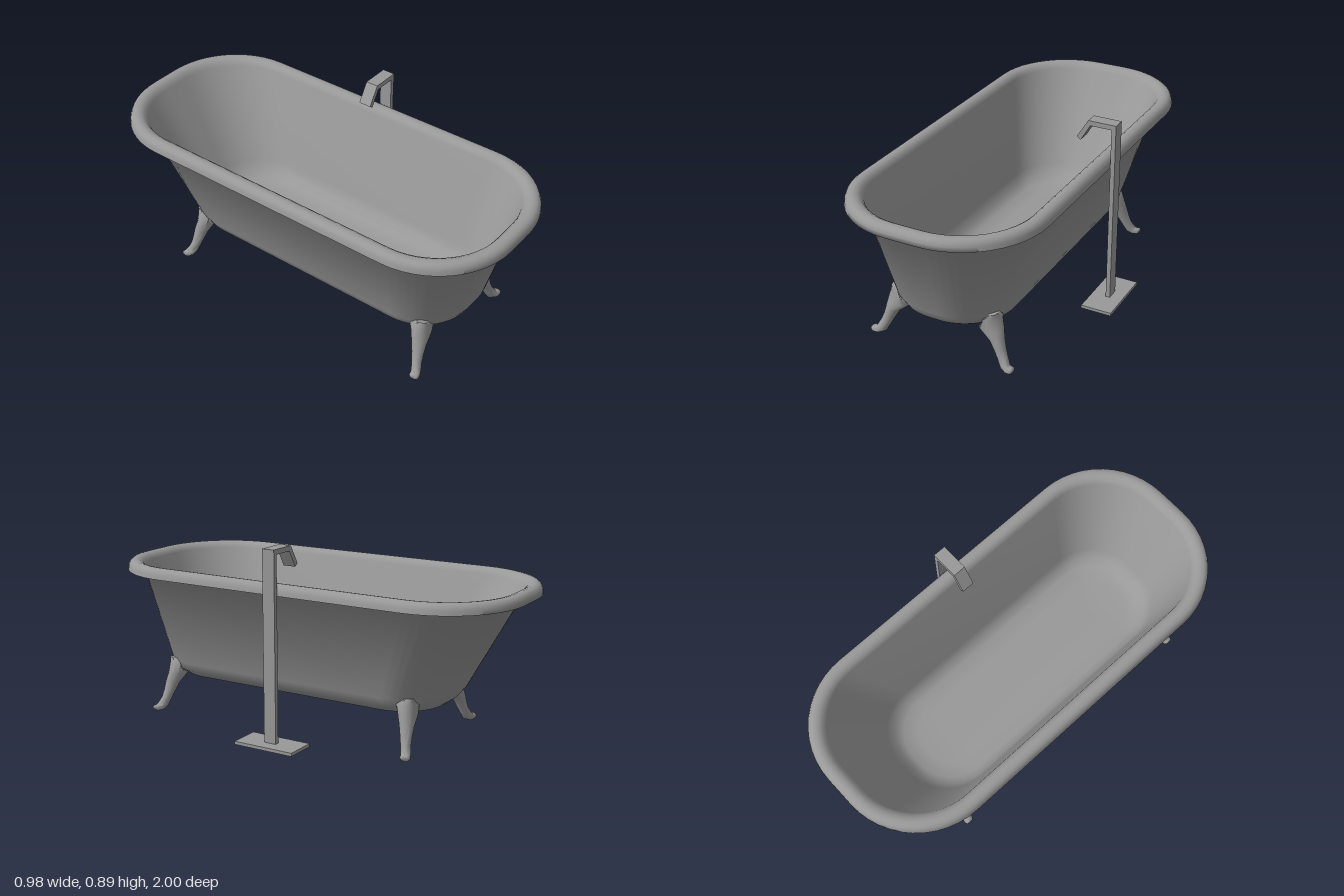
import * as THREE from 'three';
import { toCreasedNormals } from 'three/addons/utils/BufferGeometryUtils.js';

const material = new THREE.MeshStandardMaterial({ color: 0x999999, side: THREE.DoubleSide });
const TUB_X = -0.04;

// Skin a list of equal-length rings of [x, y, z] points, optionally closing both ends.
function loft(rings, caps, crease) {
  const n = rings[0].length;
  const index = [];
  const quad = (a, b, c, d) => index.push(a, b, c, a, c, d);
  for (let i = 0; i < rings.length - 1; i++) {
    for (let j = 0; j < n; j++) {
      const k = (j + 1) % n;
      quad(i * n + j, (i + 1) * n + j, (i + 1) * n + k, i * n + k);
    }
  }
  if (caps) {
    const last = (rings.length - 1) * n;
    for (let j = 1; j < n - 1; j++) {
      index.push(0, j, j + 1, last, last + j + 1, last + j);
    }
  }
  const geometry = new THREE.BufferGeometry();
  geometry.setAttribute('position', new THREE.Float32BufferAttribute(rings.flat(2), 3));
  geometry.setIndex(index);
  return toCreasedNormals(geometry, crease);
}

// Horizontal rounded rectangle: half width w, reaching from zBack to zFront.
function tubRing([y, w, zFront, zBack, r], steps = 12) {
  const corners = [[1, 1, 0], [-1, 1, 1], [-1, -1, 2], [1, -1, 3]];
  const ring = [];
  for (const [sx, sz, quarter] of corners) {
    for (let i = 0; i <= steps; i++) {
      const a = (quarter + i / steps) * Math.PI / 2;
      const cz = sz > 0 ? zFront - r : zBack + r;
      ring.push([sx * (w - r) + r * Math.cos(a), y, cz + r * Math.sin(a)]);
    }
  }
  return ring;
}

function add(parent, name, geometry) {
  const mesh = new THREE.Mesh(geometry, material);
  mesh.name = name;
  parent.add(mesh);
  return mesh;
}

function createTub() {
  // [y, half width, front z, back z, corner radius]: underside, wall, rolled rim, basin
  const profile = [
    [0.167, 0, 0.50, -0.40, 0],
    [0.167, 0.18, 0.71, -0.57, 0.165],
    [0.178, 0.225, 0.755, -0.62, 0.205],
    [0.205, 0.26, 0.79, -0.655, 0.235],
    [0.25, 0.282, 0.815, -0.69, 0.25],
    [0.682, 0.38, 0.924, -0.922, 0.315],
    [0.682, 0.452, 1.0, -1.0, 0.38],
    [0.703, 0.449, 0.999, -0.999, 0.38],
    [0.718, 0.442, 0.992, -0.992, 0.372],
    [0.727, 0.43, 0.98, -0.98, 0.36],
    [0.73, 0.414, 0.964, -0.964, 0.345],
    [0.727, 0.398, 0.948, -0.948, 0.33],
    [0.717, 0.384, 0.932, -0.932, 0.318],
    [0.70, 0.375, 0.92, -0.92, 0.31],
    [0.27, 0.27, 0.80, -0.68, 0.235],
    [0.225, 0.25, 0.775, -0.645, 0.22],
    [0.20, 0.215, 0.745, -0.61, 0.195],
    [0.19, 0.15, 0.68, -0.54, 0.135],
    [0.19, 0, 0.50, -0.40, 0],
  ];
  // the crease angle lets the wall, rim underside and rim shade as one smooth skin
  return loft(profile.map((row) => tubRing(row)), false, 1.7);
}

// One claw-like leg; sections are [x, y, z, half thickness, half breadth, tilt].
function createLeg(sx, sz) {
  const sections = [
    [0.242, 0.26, 0.70, 0.018, 0.03, 0],
    [0.222, 0.23, 0.69, 0.05, 0.046, 0],
    [0.227, 0.18, 0.698, 0.058, 0.04, 0.1],
    [0.259, 0.14, 0.708, 0.034, 0.033, 0.25],
    [0.276, 0.10, 0.715, 0.027, 0.027, 0.3],
    [0.292, 0.065, 0.722, 0.024, 0.023, 0.4],
    [0.307, 0.037, 0.731, 0.025, 0.023, 0.75],
    [0.325, 0.023, 0.739, 0.017, 0.024, 1.2],
    [0.345, 0.024, 0.743, 0.015, 0.022, 1.4],
    [0.353, 0.025, 0.744, 0.009, 0.015, 1.4],
  ];
  const sides = 16;
  const rings = sections.map(([x, y, z, a, b, tilt]) => {
    const ring = [];
    for (let j = 0; j < sides; j++) {
      // reversing the order on mirrored legs keeps the faces outward
      const t = sx * sz * j / sides * Math.PI * 2;
      const u = a * Math.cos(t);
      let px = x + u * Math.cos(tilt);
      let pz = z + b * Math.sin(t);
      // the top hugs the rounded tub corner instead of piercing the basin
      if (y > 0.2) {
        const dx = px - 0.033;
        const dz = pz - 0.57;
        const push = Math.max(1, 0.242 / Math.hypot(dx, dz));
        px = 0.033 + dx * push;
        pz = 0.57 + dz * push;
      }
      ring.push([sx * px, y + u * Math.sin(tilt), sz * (pz - (sz < 0 ? 0.145 : 0))]);
    }
    return ring;
  });
  return loft(rings, true, 1.2);
}

function createFaucet() {
  const faucet = new THREE.Group();
  faucet.name = 'faucet';

  // Square-section post, arm and angled spout in one bent bar
  const toPoints = (list) => list.map(([x, y]) => new THREE.Vector2(x, y));
  const bar = new THREE.Shape(toPoints([
    [0.412, 0], [0.433, 0], [0.433, 0.886], [0.301, 0.886],
    [0.248, 0.80], [0.267, 0.787], [0.312, 0.863], [0.412, 0.863],
  ]));
  const barGeometry = new THREE.ExtrudeGeometry(bar, { depth: 0.06, bevelEnabled: false });
  add(faucet, 'postAndSpout', barGeometry.translate(0, 0, -0.03));

  // Floor plate with a shallow lip beneath
  const plate = add(faucet, 'basePlate', new THREE.BoxGeometry(0.147, 0.006, 0.30));
  plate.position.set(0.418, 0.017, 0);
  const lip = new THREE.Shape(toPoints([
    [-0.0735, -0.15], [0.0735, -0.15], [0.0735, 0.15], [-0.0735, 0.15],
  ]));
  lip.holes.push(new THREE.Path(toPoints([
    [-0.0665, -0.143], [-0.0665, 0.143], [0.0665, 0.143], [0.0665, -0.143],
  ])));
  const lipGeometry = new THREE.ExtrudeGeometry(lip, { depth: 0.009, bevelEnabled: false });
  const lipMesh = add(faucet, 'baseLip', lipGeometry.rotateX(-Math.PI / 2));
  lipMesh.position.set(0.418, 0.005, 0);
  return faucet;
}

export function createModel() {
  const model = new THREE.Group();
  model.name = 'bathtubWithFaucet';

  const bathtub = new THREE.Group();
  bathtub.name = 'bathtub';
  bathtub.position.x = TUB_X;
  add(bathtub, 'tub', createTub());
  for (const sx of [1, -1]) {
    for (const sz of [1, -1]) {
      const name = (sz > 0 ? 'front' : 'back') + (sx > 0 ? 'Left' : 'Right') + 'Leg';
      add(bathtub, name, createLeg(sx, sz));
    }
  }

  model.add(bathtub, createFaucet());
  return model;
}
